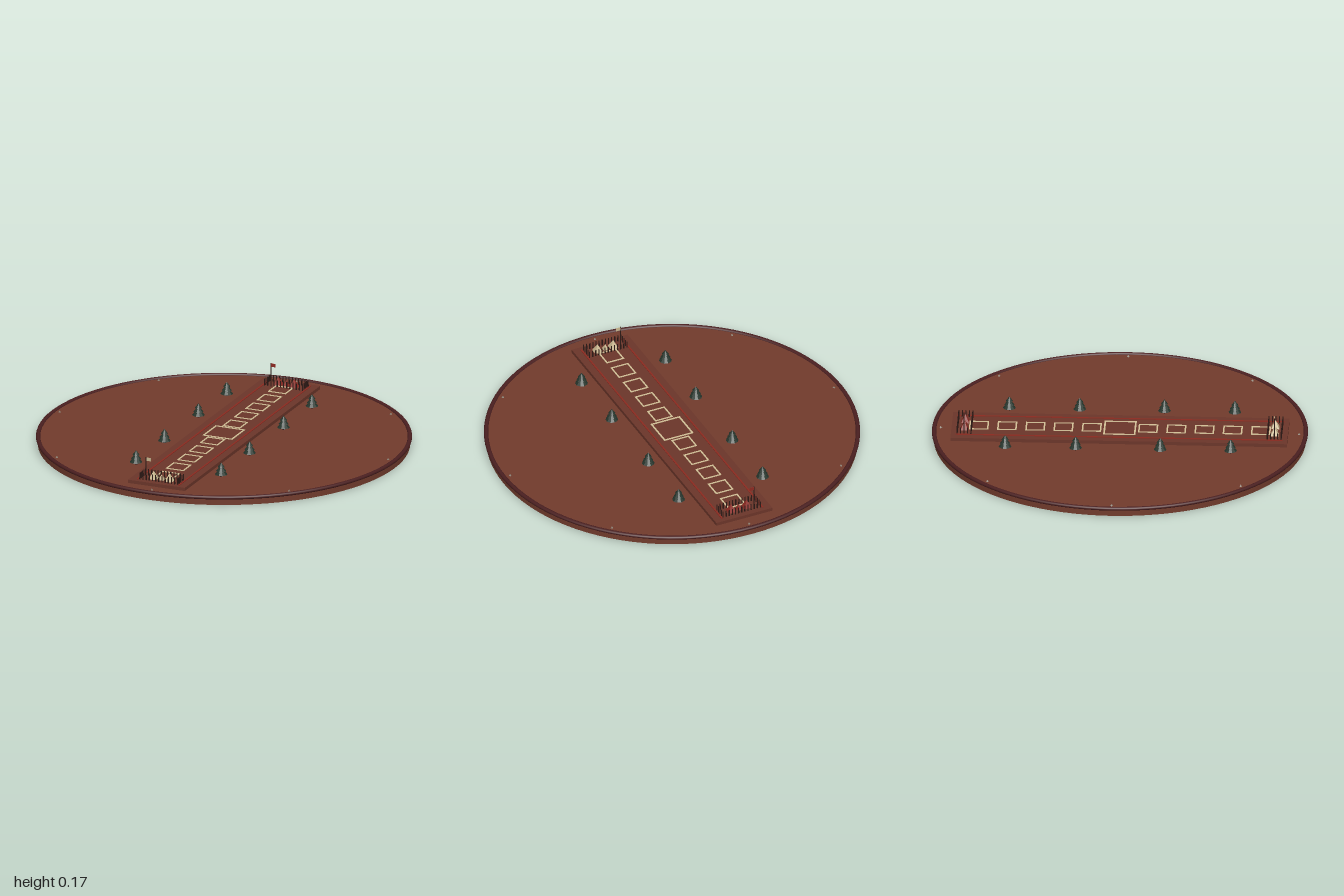
import * as THREE from 'three';

const mat = (name, color, extra = {}) => {
  const m = new THREE.MeshStandardMaterial({ color, ...extra });
  m.name = name;
  return m;
};

export function createModel() {
  const root = new THREE.Group();
  root.name = 'arena';
  const M = {
    earth: mat('earth brown', 0x713b2c),
    track: mat('track brown', 0x6b3529),
    rim: mat('rim maroon', 0x4a1f20),
    red: mat('line red', 0x8c2a20),
    cream: mat('chalk cream', 0xd2bf96),
    green: mat('pine green', 0x24332a, { flatShading: true }),
    wood: mat('dark wood', 0x2e1a16),
    redCloth: mat('red cloth', 0x8e2a22, { flatShading: true }),
    paleCloth: mat('pale cloth', 0xc9b78f, { flatShading: true }),
    stone: mat('stone grey', 0x84786a),
  };

  const add = (parent, name, geometry, material, x = 0, y = 0, z = 0) => {
    const mesh = new THREE.Mesh(geometry, material);
    mesh.name = name;
    mesh.position.set(x, y, z);
    parent.add(mesh);
    return mesh;
  };
  const group = (name, x, y, z, parent = root) => {
    const g = new THREE.Group();
    g.name = name;
    g.position.set(x, y, z);
    parent.add(g);
    return g;
  };

  // Round ground disc with a raised rim
  add(root, 'groundDisc', new THREE.CylinderGeometry(0.99, 0.99, 0.042, 96), M.earth, 0, 0.021, 0);
  const rim = add(root, 'rim', new THREE.TorusGeometry(0.988, 0.012, 10, 96), M.rim, 0, 0.041, 0);
  rim.rotation.x = Math.PI / 2;
  rim.scale.z = 0.85;

  // Small marker stones inside the rim
  const stoneGeo = new THREE.ConeGeometry(0.008, 0.01, 4);
  for (let i = 0; i < 8; i++) {
    const a = (i * Math.PI) / 4;
    add(root, 'markerStone', stoneGeo, M.stone, Math.sin(a) * 0.953, 0.047, Math.cos(a) * 0.953);
  }

  // Long raised track with two side lines
  const top = 0.06;
  add(root, 'track', new THREE.BoxGeometry(0.33, 0.02, 1.79), M.track, 0, top - 0.01, 0);
  for (const s of [-1, 1]) {
    add(root, 'sideLine', new THREE.BoxGeometry(0.009, 0.003, 1.74), M.red, s * 0.12, top + 0.0015, 0);
  }

  // Chalk squares: a large one in the middle and five toward each end
  const squareFrame = (size, width) => {
    const h = size / 2, k = h - width;
    const shape = new THREE.Shape([[-h, -h], [h, -h], [h, h], [-h, h]].map(p => new THREE.Vector2(...p)));
    shape.holes.push(new THREE.Path([[-k, -k], [-k, k], [k, k], [k, -k]].map(p => new THREE.Vector2(...p))));
    return new THREE.ExtrudeGeometry(shape, { depth: 0.003, bevelEnabled: false }).rotateX(-Math.PI / 2);
  };
  add(root, 'centreSquare', squareFrame(0.172, 0.009), M.cream, 0, top, 0);
  const smallSquare = squareFrame(0.104, 0.008);
  for (let i = 1; i <= 5; i++) {
    for (const s of [-1, 1]) add(root, 'laneSquare', smallSquare, M.cream, 0, top, s * 0.15 * i);
  }

  // Pines: short trunk and three stacked cones
  for (const x of [-0.247, 0.247]) {
    for (const z of [-0.6, -0.225, 0.225, 0.6]) {
      const pine = group('pine', x, 0.042, z);
      add(pine, 'trunk', new THREE.CylinderGeometry(0.007, 0.008, 0.018, 8), M.wood, 0, 0.009, 0);
      [[0.034, 0.036, 0.03], [0.027, 0.032, 0.047], [0.019, 0.026, 0.065]].forEach(([r, h, y]) =>
        add(pine, 'foliage', new THREE.ConeGeometry(r, h, 10), M.green, 0, y, 0));
    }
  }

  // Fenced camps at both ends of the track
  const postGeo = new THREE.CylinderGeometry(0.0028, 0.0036, 0.036, 6);
  const tentGeo = (r, h) => new THREE.ConeGeometry(r, h, 4).rotateY(Math.PI / 4);
  const buildCamp = (name, z, cloth) => {
    const camp = group(name, 0, top, z);
    const w = 0.11, d = 0.037, nx = 12, nz = 4;
    const post = (x, pz) => add(camp, 'fencePost', postGeo, M.wood, x, 0.018, pz);
    for (let i = 0; i <= nx; i++) {
      for (const s of [-1, 1]) post(-w + (2 * w * i) / nx, s * d);
    }
    for (let i = 1; i < nz; i++) {
      for (const s of [-1, 1]) post(s * w, -d + (2 * d * i) / nz);
    }

    // Tents
    for (const x of [-0.046, 0.046]) add(camp, 'tent', tentGeo(0.03, 0.044), cloth, x, 0.022, 0);
    add(camp, 'smallTent', tentGeo(0.02, 0.03), cloth, 0, 0.015, 0);

    // Flag
    add(camp, 'flagPole', new THREE.CylinderGeometry(0.0025, 0.0025, 0.115, 6), M.wood, -0.09, 0.0575, 0);
    add(camp, 'flag', new THREE.BoxGeometry(0.026, 0.018, 0.003), cloth, -0.076, 0.104, 0);
  };
  buildCamp('frontCamp', 0.825, M.paleCloth);
  buildCamp('backCamp', -0.825, M.redCloth);

  return root;
}
